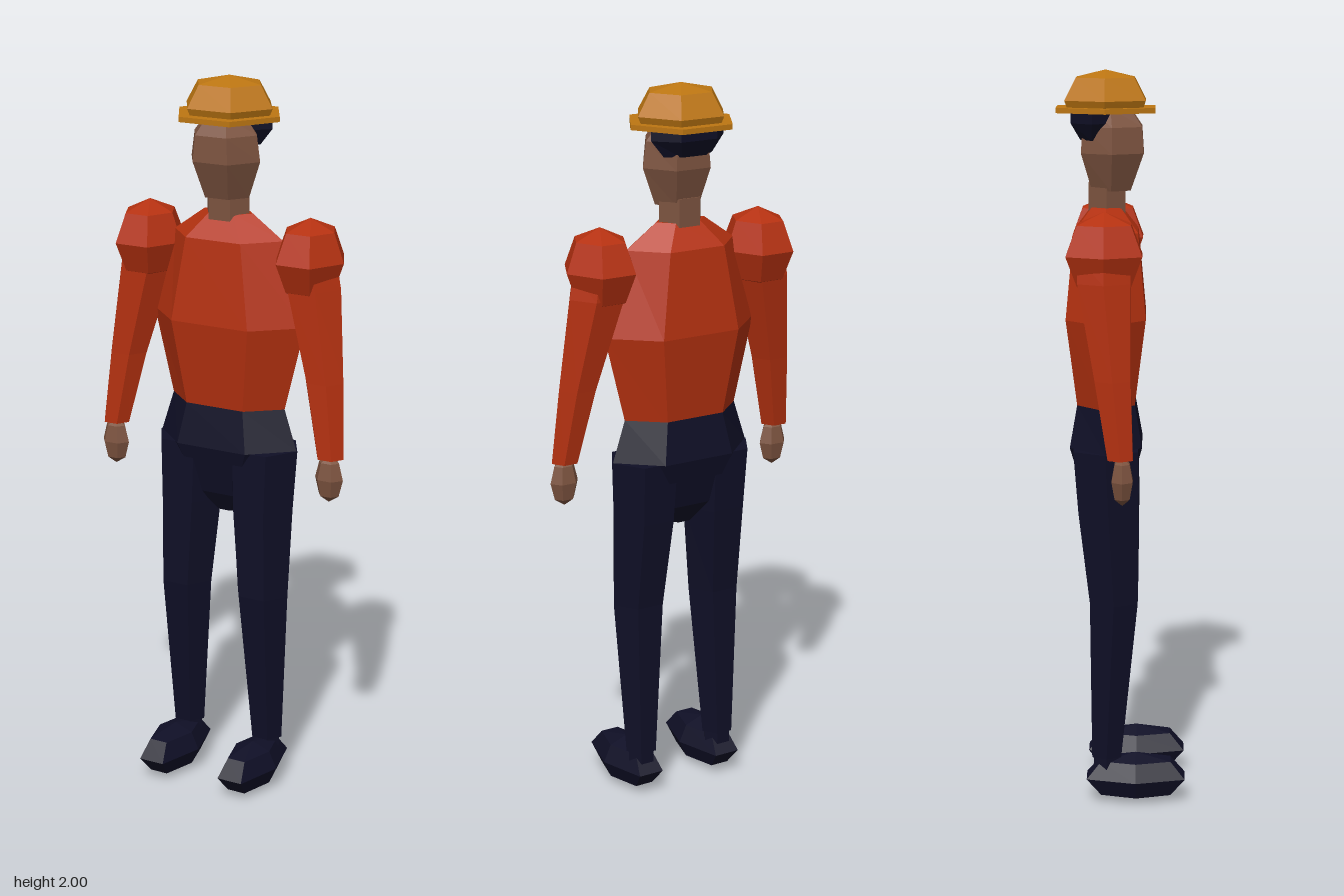
import * as THREE from 'three';

const SIDES = 6;

const material = (name, color) => {
  const m = new THREE.MeshStandardMaterial({ color });
  m.name = name;
  return m;
};

// Splits the faces so that every facet is shaded flat
function facet(geometry) {
  const flat = geometry.index ? geometry.toNonIndexed() : geometry;
  flat.computeVertexNormals();
  return flat;
}

// Six-sided closed body through cross-sections [x, y, z, rx, rz], bottom to top
function loft(sections) {
  const pos = [], idx = [];
  for (const [x, y, z, rx, rz] of sections) {
    for (let j = 0; j < SIDES; j++) {
      const a = (j / SIDES) * Math.PI * 2;
      pos.push(x + Math.cos(a) * rx, y, z + Math.sin(a) * rz);
    }
  }
  const at = (i, j) => i * SIDES + (j % SIDES);
  const last = sections.length - 1;
  for (let j = 0; j < SIDES; j++) {
    for (let i = 0; i < last; i++) {
      idx.push(at(i, j), at(i + 1, j), at(i + 1, j + 1));
      idx.push(at(i, j), at(i + 1, j + 1), at(i, j + 1));
    }
    if (j > 0 && j < SIDES - 1) {
      idx.push(at(0, 0), at(0, j), at(0, j + 1));
      idx.push(at(last, 0), at(last, j + 1), at(last, j));
    }
  }
  const g = new THREE.BufferGeometry();
  g.setAttribute('position', new THREE.Float32BufferAttribute(pos, 3));
  g.setIndex(idx);
  return facet(g);
}

// Low-poly ellipsoid
function blob(x, y, z, rx, ry, rz) {
  const g = new THREE.SphereGeometry(1, SIDES, 4);
  g.scale(rx, ry, rz).translate(x, y, z);
  return facet(g);
}

export function createModel() {
  const model = new THREE.Group();
  model.name = 'standingMan';

  const red = material('red shirt', 0xb53110);
  const navy = material('dark navy', 0x0f0f26);
  const skin = material('brown skin', 0x7c533f);
  const gold = material('golden hat', 0xbd7612);

  const add = (name, geometry, mat) => {
    const mesh = new THREE.Mesh(geometry, mat);
    mesh.name = name;
    model.add(mesh);
  };

  // Trunk
  add('torso', loft([
    [0, 1.09, -0.042, 0.172, 0.088],
    [0, 1.34, -0.042, 0.235, 0.124],
    [0, 1.57, -0.042, 0.168, 0.1],
    [0, 1.635, -0.042, 0.075, 0.045],
  ]), red);
  add('pelvis', loft([
    [0, 0.79, -0.042, 0.035, 0.025],
    [0, 0.85, -0.042, 0.11, 0.07],
    [0, 0.99, -0.042, 0.213, 0.113],
    [0, 1.105, -0.042, 0.175, 0.09],
  ]), navy);

  // Neck, head and hair
  add('neck', loft([
    [0, 1.59, -0.04, 0.065, 0.057],
    [0, 1.7, -0.04, 0.065, 0.057],
  ]), skin);
  add('head', loft([
    [0, 1.68, -0.028, 0.07, 0.06],
    [0, 1.78, -0.025, 0.105, 0.097],
    [0, 1.85, -0.025, 0.095, 0.092],
    [0, 1.9, -0.03, 0.055, 0.06],
  ]), skin);
  add('hair', loft([
    [0, 1.815, -0.08, 0.075, 0.035],
    [0, 1.86, -0.078, 0.112, 0.067],
    [0, 1.893, -0.078, 0.112, 0.067],
  ]), navy);

  // Hat
  add('hatBrim', loft([
    [0, 1.888, -0.043, 0.153, 0.153],
    [0, 1.902, -0.043, 0.153, 0.153],
  ]), gold);
  add('hatCrown', loft([
    [0, 1.9, -0.044, 0.122, 0.117],
    [0, 1.92, -0.044, 0.131, 0.125],
    [0, 1.98, -0.044, 0.096, 0.09],
    [0, 2.0, -0.044, 0.001, 0.001],
  ]), gold);

  // Limbs on both sides
  for (const [side, s] of [['left', 1], ['right', -1]]) {
    add(side + 'Shoulder', blob(s * 0.248, 1.53, -0.043, 0.1, 0.113, 0.115), red);
    add(side + 'Arm', loft([
      [s * 0.338, 1.005, 0, 0.04, 0.038],
      [s * 0.307, 1.21, -0.02, 0.057, 0.054],
      [s * 0.258, 1.46, -0.043, 0.083, 0.08],
      [s * 0.248, 1.53, -0.043, 0.08, 0.08],
    ]), red);
    add(side + 'Hand', blob(s * 0.338, 0.947, 0.005, 0.042, 0.066, 0.032), skin);
    add(side + 'Leg', loft([
      [s * 0.127, 0.13, -0.04, 0.048, 0.046],
      [s * 0.122, 0.57, -0.02, 0.079, 0.075],
      [s * 0.113, 0.82, -0.034, 0.094, 0.094],
      [s * 0.113, 0.99, -0.042, 0.103, 0.1],
    ]), navy);
    add(side + 'Ankle', loft([
      [s * 0.127, 0.09, -0.04, 0.04, 0.04],
      [s * 0.127, 0.14, -0.04, 0.04, 0.04],
    ]), navy);
    add(side + 'Shoe', blob(s * 0.127, 0.07, 0.04, 0.075, 0.068, 0.156), navy);
  }

  return model;
}
